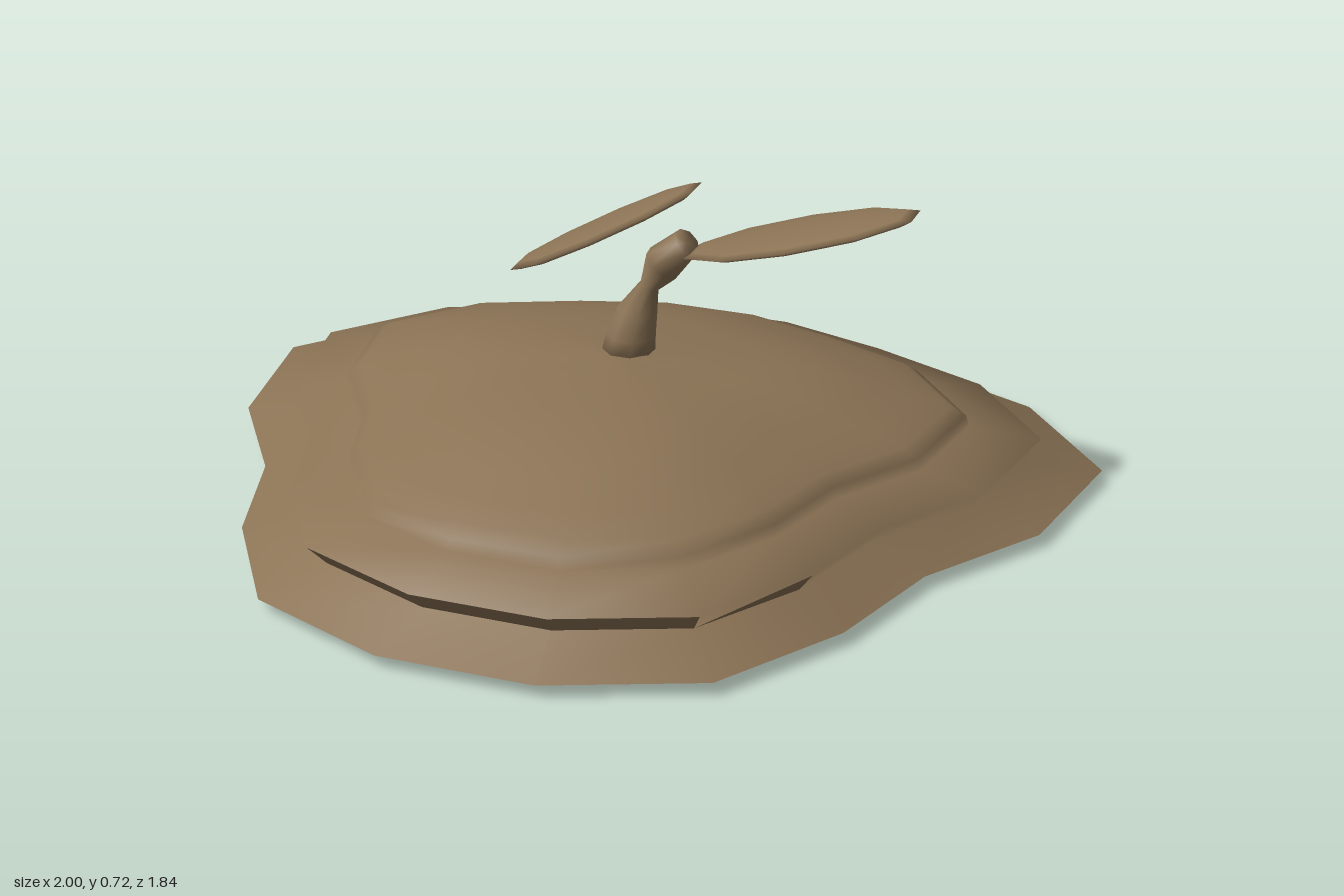
import * as THREE from 'three';

const V = (x, y, z) => new THREE.Vector3(x, y, z);

// Smooth skin over a stack of rings (bottom to top), closed with a centre point at each end.
function loft(rings) {
  const n = rings[0].length;
  const pos = [], index = [];
  rings.forEach(r => r.forEach(p => pos.push(p.x, p.y, p.z)));
  const centre = r => {
    const c = V(0, 0, 0);
    r.forEach(p => c.addScaledVector(p, 1 / n));
    pos.push(c.x, c.y, c.z);
    return pos.length / 3 - 1;
  };
  const low = centre(rings[0]), high = centre(rings[rings.length - 1]);
  const top = (rings.length - 1) * n;
  for (let j = 0; j < n; j++) {
    const k = (j + 1) % n;
    for (let i = 0; i < rings.length - 1; i++) {
      const a = i * n + j, b = i * n + k;
      index.push(a, a + n, b, b, a + n, b + n);
    }
    index.push(low, j, k, top + j, high, top + k);
  }
  const g = new THREE.BufferGeometry();
  g.setAttribute('position', new THREE.Float32BufferAttribute(pos, 3));
  g.setIndex(index);
  g.computeVertexNormals();
  return g;
}

// Elliptical ring in the xz plane, with tilt about z and twist about its own axis.
function ellipse(c, rx, rz, sides, tilt = 0, twist = 0) {
  return Array.from({ length: sides }, (_, i) => {
    const a = ((i + 0.5) / sides) * Math.PI * 2 + twist;
    return V(Math.cos(a) * rx, 0, Math.sin(a) * rz).applyAxisAngle(V(0, 0, 1), tilt).add(c);
  });
}

export function createModel() {
  const group = new THREE.Group();
  const earth = new THREE.MeshStandardMaterial({ color: 0x8b7355 });
  earth.name = 'earth brown';
  const add = (name, geometry) => {
    const m = new THREE.Mesh(geometry, earth);
    m.name = name;
    group.add(m);
    return m;
  };

  // Terraced mound: one half outline, mirrored, scaled along a stepped profile
  const half = [[0.16, -0.92], [0.45, -0.83], [0.77, -0.69], [1, -0.41], [0.94, -0.05],
    [0.76, 0.22], [0.67, 0.51], [0.49, 0.79], [0.17, 0.92]];
  const outline = [...half, ...half.map(([x, z]) => [-x, z]).reverse()];
  const profile = [[0.88, 0], [0.93, 0.003], [1, 0.03], [0.82, 0.06], [0.87, 0.11],
    [0.72, 0.143], [0.712, 0.17], [0.68, 0.193], [0.61, 0.217], [0.52, 0.25], [0.42, 0.28],
    [0.3, 0.302], [0.16, 0.315], [0.05, 0.325]];
  add('mound', loft(profile.map(([s, y]) => outline.map(([x, z]) => V(x * s, y, z * s)))));

  // Twisted sprout stem leaning to +x
  add('stem', loft([
    ellipse(V(0.005, 0.31, -0.05), 0.06, 0.06, 8),
    ellipse(V(0.012, 0.36, -0.05), 0.054, 0.058, 8, -0.05),
    ellipse(V(0.027, 0.42, -0.05), 0.044, 0.045, 8, -0.2),
    ellipse(V(0.055, 0.48, -0.05), 0.022, 0.022, 8, -0.4, 0.4),
    ellipse(V(0.085, 0.535, -0.05), 0.045, 0.044, 8, -0.7, 0.7),
    ellipse(V(0.14, 0.59, -0.05), 0.034, 0.045, 8, -0.8, 0.8),
  ]));

  // Thin lens-shaped leaves
  const leaf = (name, x, y, length, width, tilt) => {
    const m = add(name, loft([[0.5, -0.014], [0.9, -0.008], [1, 0], [0.9, 0.008], [0.5, 0.014]]
      .map(([s, h]) => ellipse(V(0, h, 0), length * s, width * s, 10))));
    m.position.set(x, y, -0.053);
    m.rotation.z = tilt;
  };
  leaf('rightLeaf', -0.05, 0.6, 0.252, 0.112, 0.51);
  leaf('leftLeaf', 0.39, 0.64, 0.274, 0.12, 0.292);

  return group;
}
